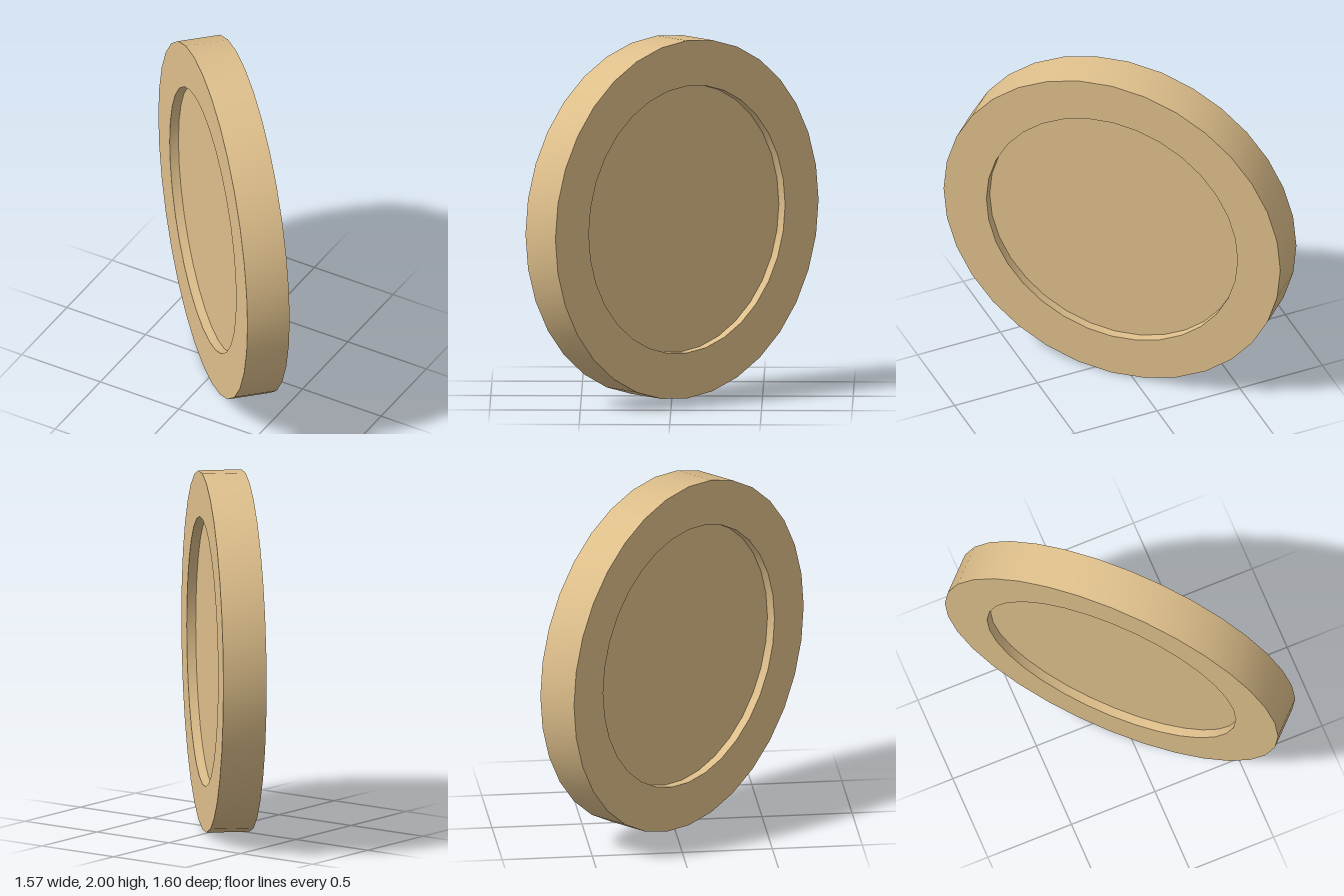
import * as THREE from 'three';
import { toCreasedNormals } from 'three/addons/utils/BufferGeometryUtils.js';

const RADIUS = 1, HALF = 0.12;             // disc
const RECESS_RADIUS = 0.746, FLOOR = 0.07; // shallow recess on both faces
const SIDES = 32;

export function createModel() {
  const group = new THREE.Group();
  group.name = 'disc';

  // Half profile, mirrored so both faces share the raised rim and sunken floor
  const half = [[0, FLOOR], [RECESS_RADIUS, FLOOR], [RECESS_RADIUS, HALF], [RADIUS, HALF]];
  const profile = [
    ...half.map(([r, h]) => new THREE.Vector2(r, -h)),
    ...half.slice().reverse().map(([r, h]) => new THREE.Vector2(r, h)),
  ];

  // Smooth around the rim, sharp at the edges
  const geometry = toCreasedNormals(new THREE.LatheGeometry(profile, SIDES), Math.PI / 5);
  geometry.rotateX(Math.PI / 2); // stand on edge

  const disc = new THREE.Mesh(geometry, new THREE.MeshStandardMaterial({ color: 0xdebf8b }));
  disc.name = 'rimmedDisc';
  disc.position.y = RADIUS;
  disc.rotation.y = -0.8; // turned about the upright axis
  group.add(disc);

  return group;
}
